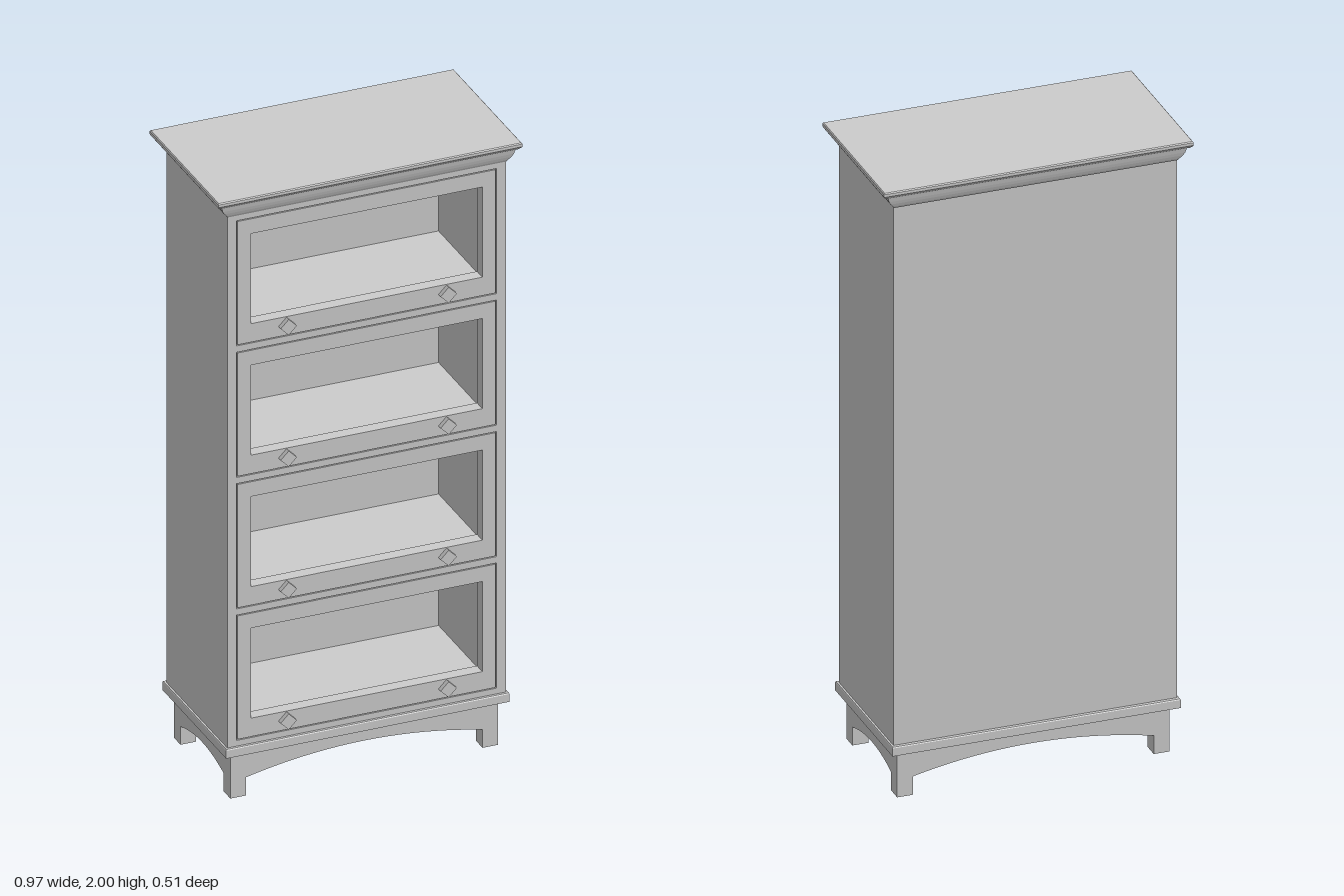
import * as THREE from 'three';

const material = new THREE.MeshStandardMaterial({ color: 0xcccccc, flatShading: true });

function add(parent, name, geometry, x = 0, y = 0, z = 0) {
  const mesh = new THREE.Mesh(geometry, material);
  mesh.name = name;
  mesh.position.set(x, y, z);
  parent.add(mesh);
  return mesh;
}

// Box given by its limits on each axis
function block(parent, name, x0, x1, y0, y1, z0, z1) {
  return add(parent, name, new THREE.BoxGeometry(x1 - x0, y1 - y0, z1 - z0),
    (x0 + x1) / 2, (y0 + y1) / 2, (z0 + z1) / 2);
}

// Solid of stacked rectangles, each [half width, y, half depth], from bottom to top
function rectLoft(rings) {
  const points = [], index = [];
  for (const [w, y, d] of rings) points.push(-w, y, d, w, y, d, w, y, -d, -w, y, -d);
  for (let r = 0; r < rings.length - 1; r++) {
    for (let i = 0; i < 4; i++) {
      const a = r * 4 + i, b = r * 4 + (i + 1) % 4;
      index.push(a, b, b + 4, a, b + 4, a + 4);
    }
  }
  const t = (rings.length - 1) * 4;
  index.push(0, 2, 1, 0, 3, 2, t, t + 1, t + 2, t, t + 2, t + 3);
  const g = new THREE.BufferGeometry();
  g.setAttribute('position', new THREE.Float32BufferAttribute(points, 3));
  g.setIndex(index);
  const flat = g.toNonIndexed();
  flat.computeVertexNormals();
  return flat;
}

// Apron board with an arched lower edge, its outer face at z = 0
function apronGeometry(half, rise, thickness) {
  const shape = new THREE.Shape();
  shape.moveTo(-half, 0.15);
  shape.lineTo(-half, 0.06);
  shape.quadraticCurveTo(0, 0.06 + rise * 2, half, 0.06);
  shape.lineTo(half, 0.15);
  const g = new THREE.ExtrudeGeometry(shape, { depth: thickness, bevelEnabled: false, curveSegments: 20 });
  return g.translate(0, 0, -thickness);
}

// Framed door with an open window, bottom edge at y = 0
function doorGeometry(halfWidth, height, depth) {
  const shape = new THREE.Shape();
  shape.moveTo(-halfWidth, 0);
  shape.lineTo(halfWidth, 0);
  shape.lineTo(halfWidth, height);
  shape.lineTo(-halfWidth, height);
  const hole = new THREE.Path();
  const w = 0.369, lo = 0.061, hi = height - 0.049;
  hole.moveTo(-w, lo);
  hole.lineTo(-w, hi);
  hole.lineTo(w, hi);
  hole.lineTo(w, lo);
  shape.holes.push(hole);
  return new THREE.ExtrudeGeometry(shape, { depth, bevelEnabled: false });
}

export function createModel() {
  const model = new THREE.Group();
  model.name = 'bookcase';

  const W = 0.444, inner = 0.4145, front = 0.226, back = -0.223;
  const bottom = 0.17, top = 1.95, pitch = 0.435, firstDoor = 0.201, doorH = 0.408;

  // Carcass: sides, back and top rail
  const carcass = new THREE.Group();
  carcass.name = 'carcass';
  model.add(carcass);
  for (const s of [-1, 1]) {
    const c = s * (W + inner) / 2, h = (W - inner) / 2;
    block(carcass, 'sidePanel', c - h, c + h, bottom, top, back, front);
  }
  block(carcass, 'backPanel', -inner, inner, bottom, top, back, back + 0.02);
  block(carcass, 'topPanel', -inner, inner, firstDoor + 3 * pitch + doorH + 0.003, top, back + 0.02, front);

  // Shelves with a lift-up door above each
  const doorDepth = 0.04;
  for (let i = 0; i < 4; i++) {
    const y = firstDoor + i * pitch;
    block(carcass, 'shelf', -inner, inner, i ? y - 0.024 : bottom, y - 0.003, back + 0.02, front);

    const door = new THREE.Group();
    door.name = 'door';
    door.position.set(0, y, front);
    model.add(door);
    add(door, 'doorFrame', doorGeometry(0.411, doorH, doorDepth), 0, 0, -doorDepth);
    for (const s of [-1, 1]) {
      const knob = new THREE.CylinderGeometry(0.026, 0.026, 0.016, 4).rotateX(Math.PI / 2);
      add(door, 'knob', knob, s * 0.255, 0.033, 0.008);
    }
  }

  // Crown moulding stepping outwards to the top board
  add(model, 'crown', rectLoft([
    [0.444, 1.935, 0.228], [0.449, 1.942, 0.232], [0.458, 1.952, 0.236],
    [0.464, 1.962, 0.239], [0.468, 1.976, 0.242], [0.475, 1.978, 0.246],
    [0.483, 1.984, 0.251], [0.485, 1.988, 0.254], [0.485, 1.997, 0.254], [0.482, 2.0, 0.251],
  ]));

  // Base moulding
  add(model, 'baseMoulding', rectLoft([
    [0.452, 0.15, 0.236], [0.452, 0.176, 0.236], [0.45, 0.179, 0.234],
  ]));

  // Plinth: four legs joined by arched aprons
  const plinth = new THREE.Group();
  plinth.name = 'plinth';
  model.add(plinth);
  const px = 0.427, pz = 0.209, leg = 0.05;
  for (const sx of [-1, 1]) {
    for (const sz of [-1, 1]) {
      add(plinth, 'leg', new THREE.BoxGeometry(leg, 0.15, leg),
        sx * (px - leg / 2), 0.075, sz * (pz - leg / 2));
    }
  }
  for (const s of [1, -1]) {
    const turn = s > 0 ? 0 : Math.PI;
    add(plinth, s > 0 ? 'frontApron' : 'backApron', apronGeometry(px - leg, 0.043, 0.025), 0, 0, s * pz)
      .rotation.y = turn;
    add(plinth, 'sideApron', apronGeometry(pz - leg, 0.026, 0.025), s * px, 0, 0)
      .rotation.y = s * Math.PI / 2;
  }
  return model;
}
